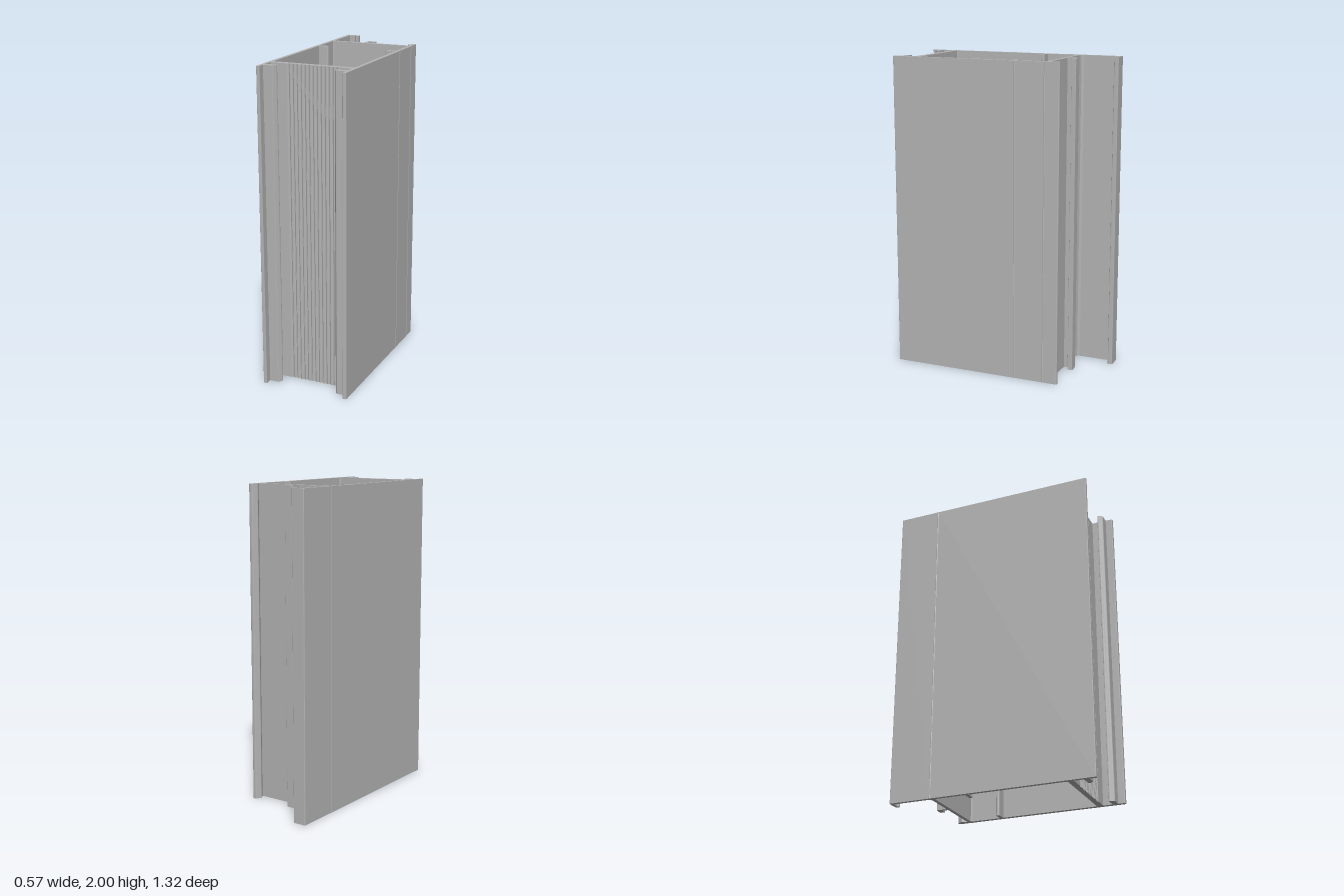
import * as THREE from 'three';

const HEIGHT = 2;

export function createModel() {
  const group = new THREE.Group();
  group.name = 'extrudedFrameProfile';
  const aluminium = new THREE.MeshStandardMaterial({ color: 0xb4b4b4 });
  aluminium.name = 'aluminium grey';

  // Upright extrusion of a plan outline; points are [x, z, cornerRadius]
  function extrude(name, points) {
    const pts = points.map(([x, z, r = 0]) => ({ p: new THREE.Vector2(x, -z), r }));
    const shape = new THREE.Shape();
    pts.forEach(({ p, r }, i) => {
      const prev = pts[(i + pts.length - 1) % pts.length].p;
      const next = pts[(i + 1) % pts.length].p;
      const toward = (q) => q.clone().sub(p).setLength(r).add(p);
      const a = r ? toward(prev) : p;
      if (i === 0) shape.moveTo(a.x, a.y);
      else shape.lineTo(a.x, a.y);
      if (r) {
        const b = toward(next);
        shape.quadraticCurveTo(p.x, p.y, b.x, b.y);
      }
    });
    shape.closePath();
    const geometry = new THREE.ExtrudeGeometry(shape, { depth: HEIGHT, bevelEnabled: false, curveSegments: 4 });
    geometry.rotateX(-Math.PI / 2);
    const mesh = new THREE.Mesh(geometry, aluminium);
    mesh.name = name;
    group.add(mesh);
  }

  // Tiny raised line along the outside of a wall
  const ridge = (x, z, out) => [[x, z - 0.004], [x + out, z], [x, z + 0.004]];

  const inL = -0.261, outL = -0.283, inR = 0.257, outR = 0.282;

  // Long wall with the hooked rear flange
  extrude('rightWall', [
    [outL, -0.66, 0.005], [-0.197, -0.66, 0.005], [-0.197, -0.63, 0.006], [-0.217, -0.63, 0.005],
    [-0.217, -0.642], [inL, -0.642, 0.006],
    [inL, 0.657, 0.004], [outL, 0.657, 0.004],
    ...ridge(outL, -0.39, -0.002).reverse(),
  ]);

  // Short wall with the barbed rear end
  extrude('leftWall', [
    [outR, -0.458, 0.008], [0.258, -0.458, 0.006], [0.239, -0.423, 0.004], [inR, -0.394],
    [inR, 0.657, 0.004], [outR, 0.657, 0.004],
    ...ridge(outR, -0.168, 0.002).reverse(),
    ...ridge(outR, -0.362, 0.002).reverse(),
  ]);

  // Rear web, with fillets where it meets the walls
  extrude('rearWeb', [
    [inL, -0.412], [-0.256, -0.396], [-0.236, -0.389], [inR, -0.389],
    [inR, -0.357], [inR - 0.008, -0.365], [inL + 0.008, -0.365], [inL, -0.357],
  ]);

  // Hook standing on the rear web
  extrude('rearHook', [
    [-0.049, -0.389], [-0.049, -0.458, 0.006], [0.007, -0.458, 0.003], [0.007, -0.427, 0.003],
    [-0.028, -0.427], [-0.028, -0.389],
  ]);

  // Front web with a row of shallow scalloped grooves
  const grooves = [];
  const count = 13, start = -0.16, pitch = 0.33 / count;
  for (let i = 0; i < count; i++) {
    for (let k = 0; k <= 4; k++) {
      const t = k / 4;
      grooves.push([start + pitch * (i + 0.1 + 0.8 * t), 0.517 - 0.007 * Math.sin(Math.PI * t)]);
    }
  }
  extrude('frontWeb', [
    [inR, 0.517], [inR, 0.47], [inR - 0.008, 0.478], [inL + 0.008, 0.478], [inL, 0.47], [inL, 0.517],
    ...grooves,
  ]);

  // Mirrored inner lips and bevelled front clips
  for (const [side, wall, lipEnd, clipEnd] of [['right', inL, -0.197, -0.186], ['left', inR, 0.193, 0.181]]) {
    const s = Math.sign(wall);
    extrude(side + 'InnerLip', [
      [wall, -0.167], [lipEnd, -0.167, 0.01], [lipEnd, -0.143, 0.01], [wall, -0.143],
    ]);
    extrude(side + 'FrontClip', [
      [wall, 0.577], [clipEnd, 0.577, 0.004], [clipEnd, 0.587, 0.003],
      [clipEnd + s * 0.016, 0.612, 0.004], [wall, 0.612],
    ]);
  }
  return group;
}
